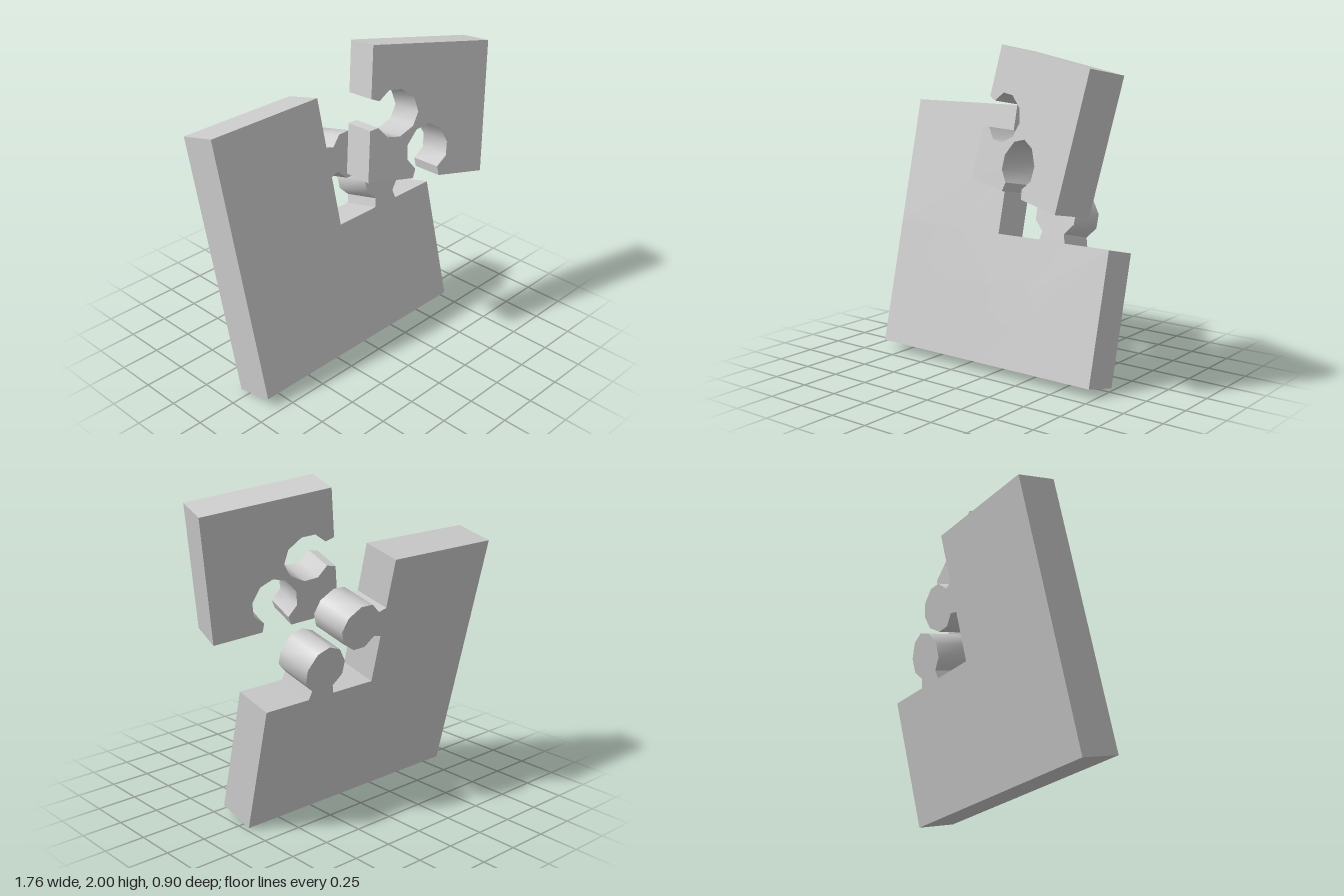
import * as THREE from 'three';
import { toCreasedNormals } from 'three/addons/utils/BufferGeometryUtils.js';

const SIZE = 0.802, THICK = 0.25;

// Half of the knob outline: offset from the edge centre, distance out from the edge
const HALF = [[0.093, 0], [0.078, 0.055], [0.138, 0.118], [0.14, 0.205], [0.083, 0.293]];
const KNOB = [
  ...HALF.map(([u, d]) => [-u, d]),
  [0, 0.325],
  ...[...HALF].reverse(),
];

// One square piece; edges in order bottom, right, top, left: 1 knob, -1 socket, 0 straight
function pieceGeometry(edges) {
  const corners = [[0, 0], [SIZE, 0], [SIZE, SIZE], [0, SIZE]];
  const dirs = [[1, 0], [0, 1], [-1, 0], [0, -1]];
  const points = [];
  edges.forEach((type, i) => {
    const [cx, cy] = corners[i], [dx, dy] = dirs[i];
    points.push(new THREE.Vector2(cx, cy));
    if (type === 0) return;
    for (const [u, d] of KNOB) {
      const along = SIZE / 2 + u, out = d * type;
      points.push(new THREE.Vector2(cx + dx * along + dy * out, cy + dy * along - dx * out));
    }
  });
  const geo = new THREE.ExtrudeGeometry(new THREE.Shape(points), { depth: THICK, bevelEnabled: false });
  geo.translate(0, 0, -THICK); // front face at z = 0
  return toCreasedNormals(geo, 0.75);
}

export function createModel() {
  const model = new THREE.Group();
  model.name = 'jigsawPuzzle';
  const grey = new THREE.MeshStandardMaterial({ color: 0xcccccc });
  grey.name = 'lightGrey';

  const addPiece = (parent, name, edges, x, y) => {
    const mesh = new THREE.Mesh(pieceGeometry(edges), grey);
    mesh.name = name;
    mesh.position.set(x, y, 0);
    parent.add(mesh);
  };

  // Three joined pieces, leaning back
  const joined = new THREE.Group();
  joined.name = 'joinedPieces';
  joined.position.set(-0.88, 0.06, 0.18);
  joined.rotation.x = -0.2395;
  addPiece(joined, 'bottomLeftPiece', [0, 1, -1, 0], 0, 0);
  addPiece(joined, 'bottomRightPiece', [0, 0, 1, -1], SIZE, 0);
  addPiece(joined, 'topLeftPiece', [1, 1, 0, 0], 0, SIZE);
  model.add(joined);

  // Loose fourth piece, turned and floating in front of its gap
  const loose = new THREE.Group();
  loose.name = 'loosePiece';
  const right = new THREE.Vector3(0.95, -0.1375, 0.281).normalize();
  const normal = new THREE.Vector3().crossVectors(right, new THREE.Vector3(0.135, 0.785, -0.11)).normalize();
  const up = new THREE.Vector3().crossVectors(normal, right);
  loose.quaternion.setFromRotationMatrix(new THREE.Matrix4().makeBasis(right, up, normal));
  loose.position.set(-0.09, 1.215, 0.23);
  addPiece(loose, 'topRightPiece', [-1, 0, 0, -1], 0, 0);
  model.add(loose);

  return model;
}
